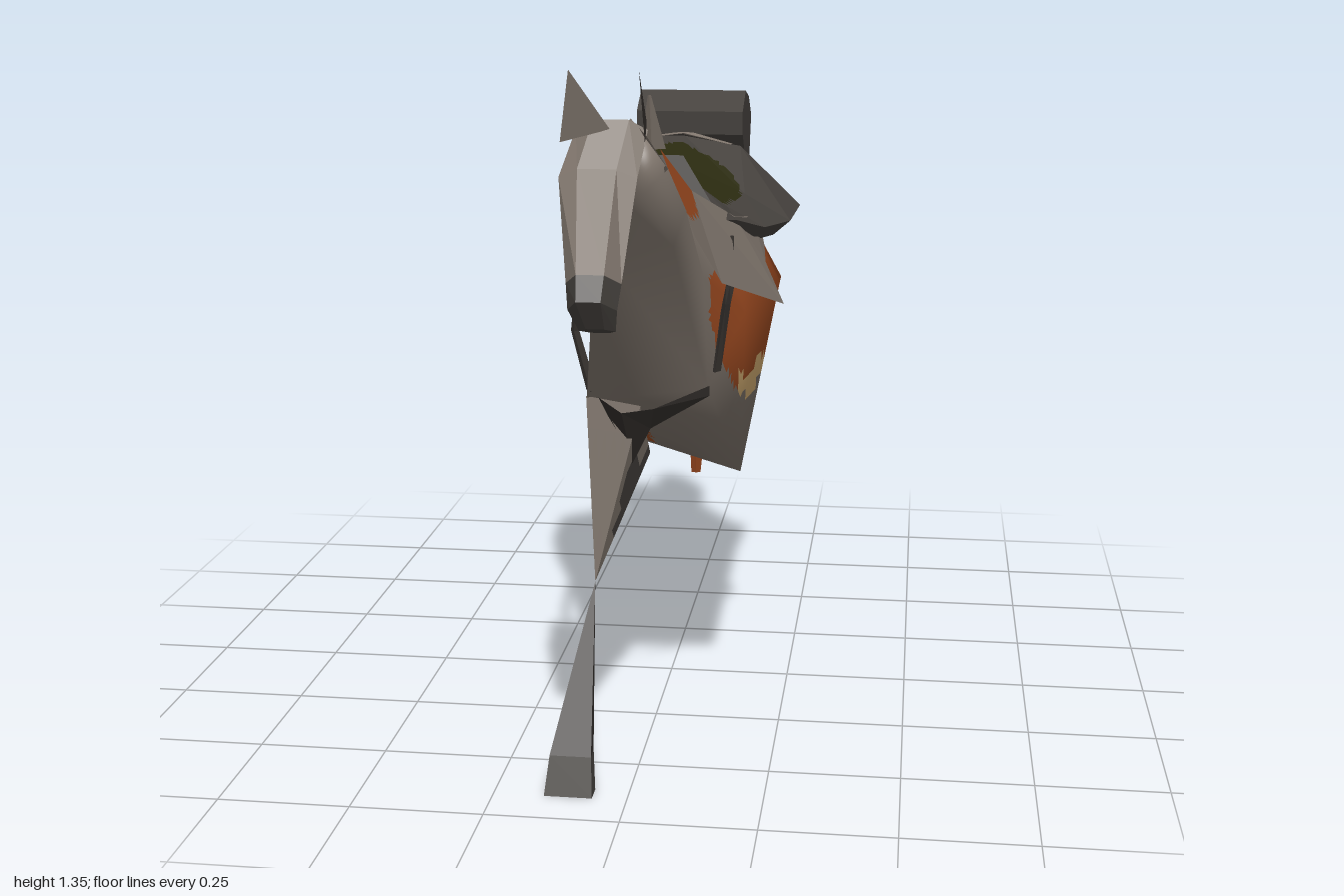
import * as THREE from 'three';

// Thin, open low-poly shells, so every colour is double sided
const mat = (name, color) => {
  const m = new THREE.MeshStandardMaterial({ color, side: THREE.DoubleSide });
  m.name = name;
  return m;
};

export function createModel() {
  const group = new THREE.Group();
  const grey = mat('warm grey', 0x7f756c), dark = mat('dark leather', 0x45413d);
  const orange = mat('chestnut', 0x9e4b21), cream = mat('cream', 0xd6b074);
  const green = mat('dark olive', 0x2a2a10), black = mat('charcoal', 0x302c29);
  const palette = [grey, dark, orange, cream, green, black];

  // Builds a mesh from triangles; paint(centre) picks a material for each small facet.
  // Smooth meshes share averaged corner normals across neighbouring triangles.
  function facets(name, tris, paint, n, smooth) {
    const buckets = palette.map(() => ({ pos: [], nor: [] }));
    const rule = paint.isMaterial ? () => paint : paint;
    const key = p => p.toArray().join();
    const face = ([a, b, c]) => b.clone().sub(a).cross(c.clone().sub(a));
    const shared = new Map();
    for (const t of tris) for (const p of t) {
      shared.set(key(p), (shared.get(key(p)) || new THREE.Vector3()).clone().add(face(t)));
    }
    for (const t of tris) {
      const flat = face(t).normalize();
      const corner = t.map(p => smooth ? shared.get(key(p)).clone().normalize() : flat);
      const mix = ([a, b, c], i, j) => new THREE.Vector3().addScaledVector(a, 1 - (i + j) / n)
        .addScaledVector(b, i / n).addScaledVector(c, j / n);
      const put = (...ij) => {
        const p = ij.map(([i, j]) => mix(t, i, j));
        const mid = p[0].clone().add(p[1]).add(p[2]).divideScalar(3);
        const { pos, nor } = buckets[palette.indexOf(rule(mid))];
        p.forEach((v, k) => {
          pos.push(...v.toArray());
          nor.push(...mix(corner, ...ij[k]).normalize().toArray());
        });
      };
      for (let i = 0; i < n; i++) for (let j = 0; j < n - i; j++) {
        put([i, j], [i + 1, j], [i, j + 1]);
        if (i + j < n - 1) put([i + 1, j], [i + 1, j + 1], [i, j + 1]);
      }
    }
    const geo = new THREE.BufferGeometry();
    const used = [], pos = [], nor = [];
    buckets.forEach((b, k) => {
      if (!b.pos.length) return;
      geo.addGroup(pos.length / 3, b.pos.length / 3, used.length);
      used.push(palette[k]);
      for (const v of b.pos) pos.push(v);
      for (const v of b.nor) nor.push(v);
    });
    geo.setAttribute('position', new THREE.Float32BufferAttribute(pos, 3));
    geo.setAttribute('normal', new THREE.Float32BufferAttribute(nor, 3));
    const mesh = new THREE.Mesh(geo, used.length > 1 ? used : used[0]);
    mesh.name = name;
    group.add(mesh);
  }

  // Skins a row of cross-sections, optionally closed round and capped at the ends
  function loft(name, rows, paint, { closed = true, cap = false, n = 1, smooth = false } = {}) {
    const r = rows.map(row => row.map(p => new THREE.Vector3(...p)));
    const m = r[0].length, tris = [];
    const add = (a, b, c) => {
      if (b.clone().sub(a).cross(c.clone().sub(a)).length() > 1e-7) tris.push([a, b, c]);
    };
    for (let i = 0; i + 1 < r.length; i++) for (let j = 0; j < (closed ? m : m - 1); j++) {
      const k = (j + 1) % m;
      add(r[i][j], r[i + 1][k], r[i][k]);
      add(r[i][j], r[i + 1][j], r[i + 1][k]);
    }
    if (cap) for (let j = 1; j < m - 1; j++) {
      add(r[0][0], r[0][j], r[0][j + 1]);
      const e = r[r.length - 1];
      add(e[0], e[j + 1], e[j]);
    }
    facets(name, tris, paint, n, smooth);
  }

  // Tapering diamond-section strand through [x, y, z, half width, half depth]
  const strand = (name, points, paint, n = 1) => loft(name, points.map(([x, y, z, w, d]) =>
    [[x, y, z + d], [x + w, y, z], [x, y, z - d], [x - w, y, z]]), paint, { cap: true, n });

  // Coat pattern: chestnut flanks, cream borders, grey belly, chest and near side of the neck
  const neckPatch = p => ((p.z - 0.545) / 0.13) ** 2 + ((p.y - 1.125 - (p.z - 0.545) * 0.3) / 0.055) ** 2 < 1;
  const coat = p => {
    const w = 0.01 * Math.sin(p.z * 31) + 0.006 * Math.sin(p.z * 73 + p.x * 20);
    if (p.z < -0.38 && p.y < 0.665) return p.y < 0.585 + w && p.y > 0.46 ? dark : grey;
    if (p.z < -0.2 && p.y > 0.96 + w - (p.x > 0.02 ? 0 : 0.02)) return cream;
    if (p.z > 0.25 + w) {
      if (p.x > 0.0) {
        const shoulder = p.z < 0.43 + w && p.y > 0.67 + (p.z - 0.25) * 0.95 + w && p.y < 0.94;
        return neckPatch(p) || shoulder ? orange : grey;
      }
      return p.z < 0.76 && p.y > 0.76 + (p.z - 0.47) * 1.45 + w ? orange : grey;
    }
    const low = 0.705 + w;
    return p.y > low ? orange : p.y > low - 0.04 ? cream : grey;
  };

  // Body and neck, from the tail root forward; each row runs top, +x side, underside, -x side
  const rump = [.945, .94, .72, .42, .42, .7, .94].map(y => [-.03 - (.945 - y) * .11, y, -.655]);
  loft('body', [
    rump,
    [[0, 1.005, -.3], [.11, .97, -.36], [.2, .8, -.38], [.05, .665, -.34], [-.07, .665, -.34], [-.17, .82, -.36], [-.1, .96, -.36]],
    [[0, 1.03, -.15], [.13, .98, -.15], [.21, .82, -.2], [.08, .63, -.08], [-.09, .63, -.1], [-.25, .82, -.15], [-.13, .98, -.15]],
    [[0, 1.06, .2], [.115, .98, .18], [.17, .83, .19], [.17, .525, .265], [-.06, .585, .24], [-.15, .84, .2], [-.1, 1, .2]],
    [[0, 1.145, .42], [.07, 1.08, .42], [.12, .95, .48], [.125, .735, .45], [-.1, .71, .47], [-.09, .88, .43], [-.06, 1.05, .42]],
    [[.02, 1.23, .6], [.06, 1.18, .63], [.11, 1.1, .67], [.09, 1.04, .69], [-.045, 1.04, .69], [-.035, 1.1, .65], [0, 1.18, .62]],
    [[.03, 1.265, .77], [.06, 1.24, .8], [.1, 1.19, .83], [.06, 1.15, .83], [0, 1.16, .82], [.005, 1.2, .8], [.015, 1.25, .78]],
  ], coat, { cap: true, n: 14, smooth: true });

  // Loose shoulder panel sweeping out from the neck
  loft('shoulderPanel', [
    [[.06, 1.2, .63], [.115, 1.04, .58]],
    [[.09, 1.1, .42], [.145, .925, .4]],
    [[.15, 1.02, .2], [.245, .845, .175]],
    [[.17, 1.0, .05], [.2, .91, .07]],
    [[.18, .97, -.03], [.19, .93, -.02]],
  ], p => neckPatch(p) ? orange : grey, { closed: false, n: 12 });

  // Head: a wedge hanging down and forward, widening to a dark nose
  const headRow = (x0, x1, yb, zb, yf, zf) => {
    const c = (x0 + x1) / 2, y = (yb + yf) / 2, z = (zb + zf) / 2, f = (x1 - x0) * .25;
    return [[c - f, yf, zf], [c + f, yf, zf], [x1, y, z], [c + f, yb, zb], [c - f, yb, zb], [x0, y, z]];
  };
  const head = [
    headRow(-.06, .06, 1.23, .77, 1.265, .79),
    headRow(-.08, .05, 1.16, .825, 1.19, .845),
    headRow(-.05, .04, 1.0, .91, 1.04, .98),
    headRow(-.045, .035, .96, .92, 1.0, 1.0),
    headRow(-.03, .03, .935, .92, .95, .965),
  ];
  loft('head', head.slice(0, 3), grey, { cap: true });
  loft('nose', head.slice(2), dark, { cap: true });

  // Ears: one broad, one turned edge-on
  const ear = (name, base, x, colour) =>
    loft(name, [base, base.map(() => [x, 1.35, .847])], colour);
  ear('rightEar', [[-.08, 1.23, .82], [0, 1.25, .8], [-.06, 1.25, .77]], -.06, grey);
  ear('leftEar', [[.062, 1.23, .83], [.058, 1.26, .78], [.056, 1.25, .8]], .055, black);

  // Single front leg: wedge above a pinched knee, flaring to the hoof
  const knee = Array(4).fill([-.085, .36, .48]);
  loft('upperFrontLeg', [
    [[-.1, .72, .475], [0, .7, .46], [0, .575, .33], [-.1, .6, .34]], knee,
  ], p => p.z < .44 && p.y < .58 ? dark : grey, { n: 6 });
  const fetlock = [[-.148, .07, .635], [-.07, .07, .635], [-.07, .075, .605], [-.14, .075, .605]];
  loft('lowerFrontLeg', [knee, fetlock], black);
  loft('hoof', [fetlock, [[-.155, 0, .66], [-.065, 0, .66], [-.065, 0, .62], [-.155, 0, .62]]], dark, { cap: true });

  // Tail: broad flat locks narrowing to separate tips
  strand('tailOuter', [[-.03, .945, -.66, .005, .005], [-.035, .85, -.785, .05, .04],
    [-.03, .585, -.915, .045, .03], [-.04, .33, -.995, .01, .005]], grey);
  strand('tailInner', [[-.03, .94, -.66, .005, .005], [-.04, .75, -.765, .045, .03],
    [-.04, .5, -.875, .035, .02], [-.06, .165, -.975, .012, .005]], p => p.y < .22 ? orange : grey, 6);
  strand('tailSide', [[-.03, .94, -.66, .005, .005], [-.05, .82, -.81, .03, .02],
    [-.08, .56, -.93, .02, .015], [-.075, .34, -.985, .008, .005]], grey);

  // Saddle with splayed skirts and a domed olive seat; rows run from -x to +x
  const saddleRow = (z, yc, xm, ym, xe, ye) => {
    const half = [[xe - .035, ye - .03, z], [xe, ye, z], [xm, ym, z]];
    return [...half.map(([x, y]) => [-x, y + .02, z]), [0, yc, z], ...half.reverse()];
  };
  loft('saddle', [
    saddleRow(-.255, 1.09, .11, 1.08, .23, .98),
    saddleRow(-.225, 1.13, .12, 1.11, .25, .985),
    saddleRow(-.06, 1.095, .145, 1.03, .24, .975),
    saddleRow(.1, 1.08, .125, 1.025, .2, .985),
    saddleRow(.24, 1.11, .09, 1.08, .155, 1.02),
    saddleRow(.31, 1.1, .07, 1.07, .13, 1.03),
  ], p => {
    const width = p.z < -.02 ? .14 * Math.sqrt(Math.max(0, 1 - ((p.z + .02) / .16) ** 2)) : .14 - (p.z + .02) * .2;
    return p.z < .235 && Math.abs(p.x) < width ? green : dark;
  }, { closed: false, n: 12 });
  loft('pommel', [
    [[-.08, 1.07, .235], [.08, 1.07, .235], [.13, 1.01, .25], [-.13, 1.01, .25]],
    [[-.06, 1.15, .3], [.06, 1.15, .3], [.13, 1.04, .32], [-.13, 1.04, .32]],
  ], dark, { cap: true });
  strand('cantleTrim', [[-.1, 1.125, -.215, .004, .012], [0, 1.138, -.215, .02, .012], [.1, 1.115, -.215, .004, .012]], grey);
  strand('horn', [[0, 1.16, .285, .025, .015], [0, 1.265, .33, .003, .003]], grey);

  // Bedroll behind the saddle: seven-sided section across x
  const roll = [[1.18, -.25], [1.22, -.32], [1.2, -.4], [1.155, -.46], [1.06, -.42], [1.09, -.3], [1.13, -.255]];
  loft('bedroll', [-.108, .122].map(x => roll.map(([y, z]) => [x, y, z])), dark, { cap: true });

  // Harness straps and breast collar
  strand('leftStrap', [[.15, 1.0, .31, .008, .008], [.155, .91, .345, .008, .008], [.15, .88, .36, .008, .02], [.135, .76, .41, .01, .015]], black);
  strand('rightStrap', [[-.13, 1.0, .3, .008, .008], [-.14, .82, .36, .008, .012], [-.09, .73, .47, .01, .015]], black);
  loft('breastCollar', [
    [[-.075, .72, .485], [-.06, .7, .49]],
    [[-.03, .695, .5], [-.02, .58, .43]],
    [[.03, .705, .5], [.02, .66, .47]],
    [[.13, .745, .47], [.13, .725, .465]],
  ], black, { closed: false });

  return group;
}
